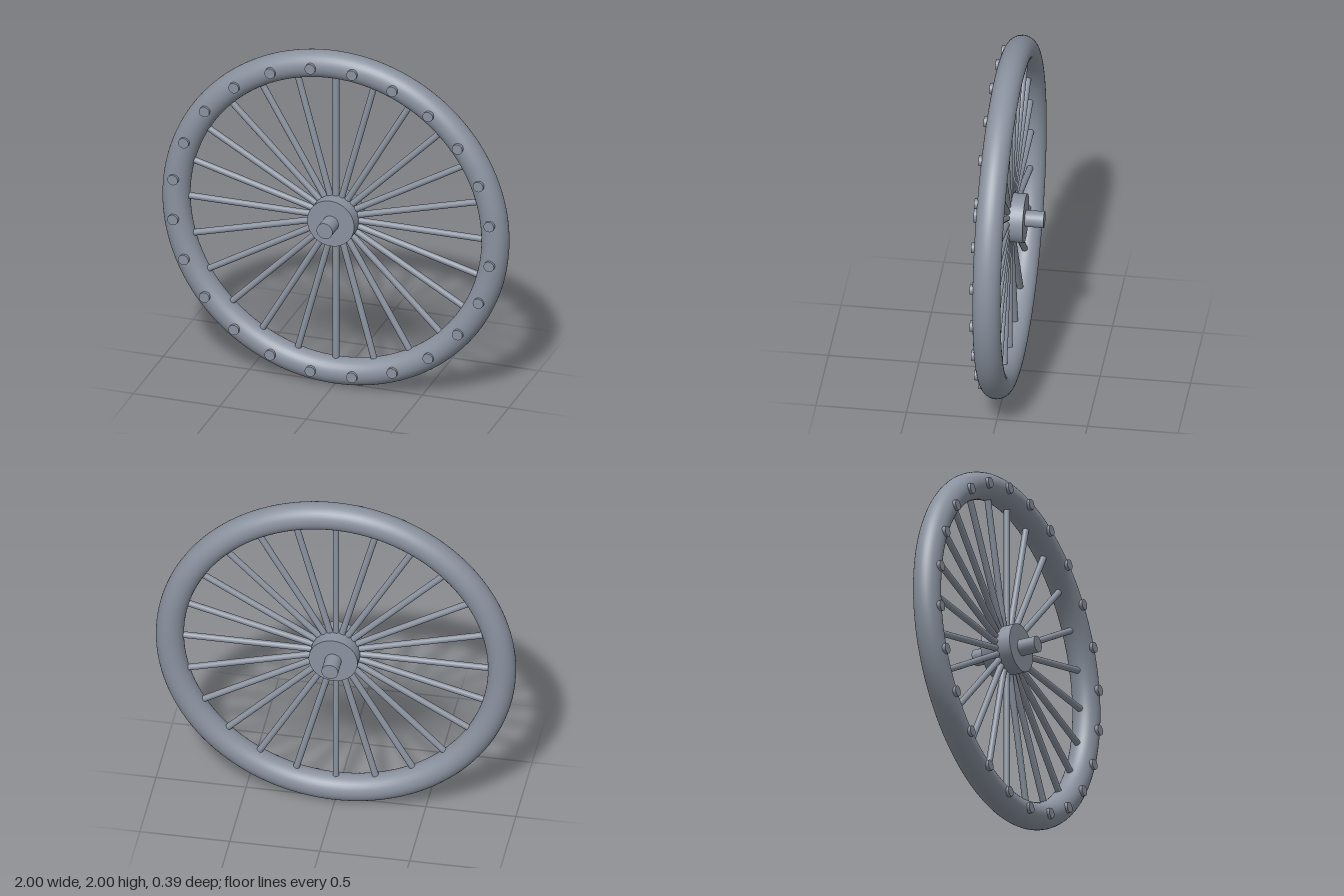
import * as THREE from 'three';

export function createModel() {
  const wheel = new THREE.Group();
  wheel.name = 'spokedWheel';
  wheel.position.y = 1;

  const steel = new THREE.MeshStandardMaterial({ color: 0x8a929f });
  steel.name = 'steel grey';

  const COUNT = 24;
  const RIM = 0.923, TUBE = 0.077;

  const add = (name, geometry, parent = wheel) => {
    const mesh = new THREE.Mesh(geometry, steel);
    mesh.name = name;
    parent.add(mesh);
    return mesh;
  };
  // Cylinder lying along z
  const disc = (radius, depth, sides) =>
    new THREE.CylinderGeometry(radius, radius, depth, sides).rotateX(Math.PI / 2);

  // Round rim, hub and axle
  add('rim', new THREE.TorusGeometry(RIM, TUBE, 32, 128));
  add('hub', disc(0.136, 0.18, 48));
  add('axle', disc(0.046, 0.386, 32));

  // Spokes from inside the hub into the rim
  const spokes = new THREE.Group();
  spokes.name = 'spokes';
  const inner = 0.08, outer = 0.88;
  const spokeGeometry = new THREE.CylinderGeometry(0.018, 0.018, outer - inner, 16)
    .translate(0, (inner + outer) / 2, 0);

  // Rivets on the front of the rim, midway between spokes
  const rivets = new THREE.Group();
  rivets.name = 'rivets';
  const rivetGeometry = disc(0.03, 0.03, 20).translate(0, RIM, 0.076);

  for (let i = 0; i < COUNT; i++) {
    const angle = (i / COUNT) * Math.PI * 2;
    add('spoke', spokeGeometry, spokes).rotation.z = angle;
    add('rivet', rivetGeometry, rivets).rotation.z = angle + Math.PI / COUNT;
  }
  wheel.add(spokes, rivets);

  const model = new THREE.Group();
  model.name = 'wheelModel';
  model.add(wheel);
  return model;
}
